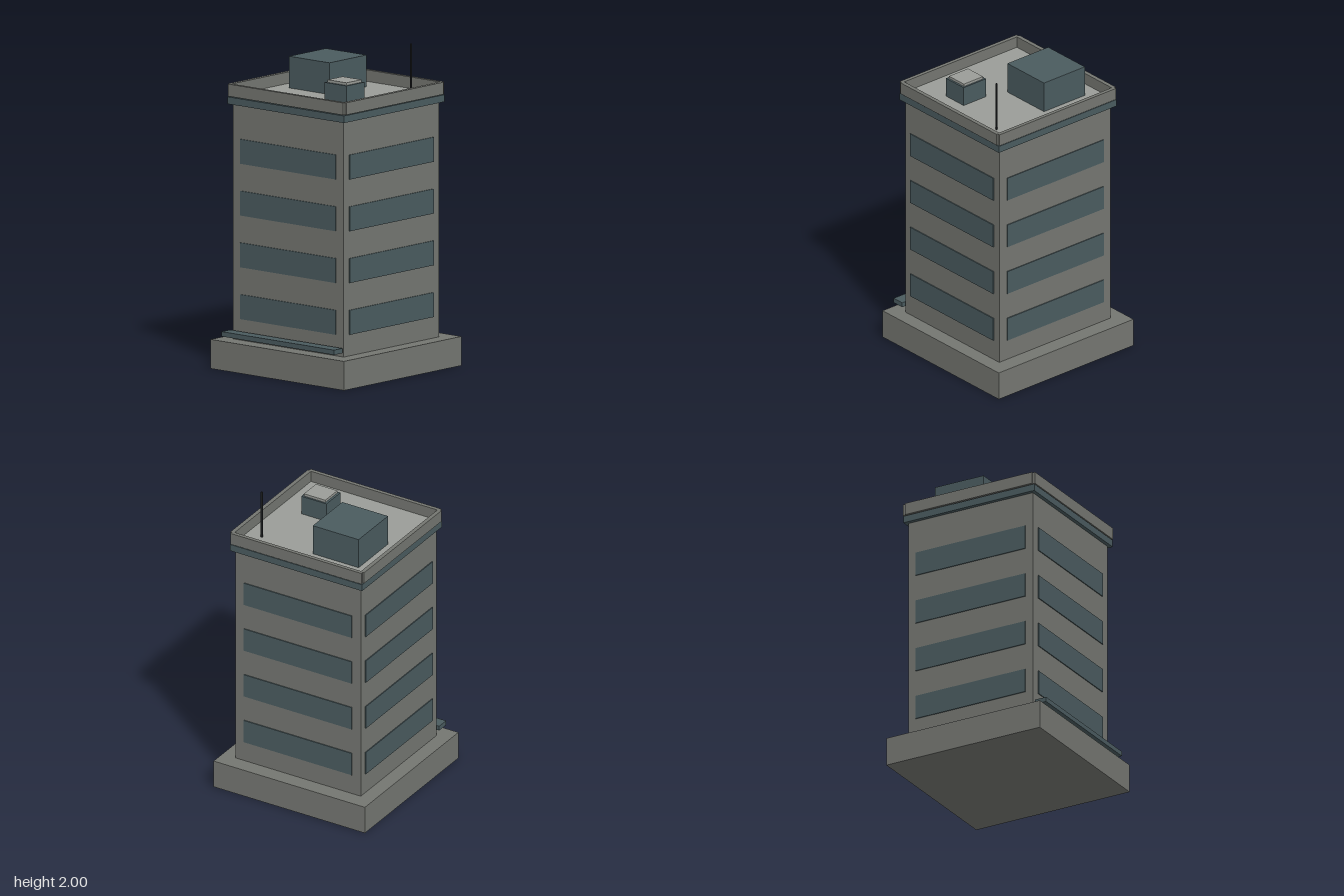
import * as THREE from 'three';

const paint = (name, color) => {
  const m = new THREE.MeshStandardMaterial({ color });
  m.name = name;
  return m;
};

export function createModel() {
  const concrete = paint('concrete grey', 0x747671);
  const teal = paint('slate teal', 0x4a5b5f);
  const pale = paint('pale roof grey', 0x9a9d98);
  const dark = paint('antenna dark', 0x25282a);

  const model = new THREE.Group();
  model.name = 'officeTower';

  // Box given by its min and max on each axis
  const box = (name, mat, [x0, x1], [y0, y1], [z0, z1], parent = model) => {
    const mesh = new THREE.Mesh(new THREE.BoxGeometry(x1 - x0, y1 - y0, z1 - z0), mat);
    mesh.position.set((x0 + x1) / 2, (y0 + y1) / 2, (z0 + z1) / 2);
    mesh.name = name;
    parent.add(mesh);
    return mesh;
  };
  const sym = (v) => [-v, v];

  // Plinth, shaft and entrance canopy
  box('plinth', concrete, sym(0.54), [0, 0.18], sym(0.54));
  box('towerShaft', concrete, sym(0.447), [0.18, 1.68], sym(0.437));
  box('entranceCanopy', teal, sym(0.455), [0.208, 0.238], [0.456, 0.535]);

  // Window strips on all four faces, four floors
  const windows = new THREE.Group();
  windows.name = 'windowStrips';
  model.add(windows);
  for (let floor = 0; floor < 4; floor++) {
    const y = 0.311 + floor * 0.32;
    const span = [y, y + 0.152];
    for (const s of [-1, 1]) {
      const zs = [0.434 * s, 0.443 * s].sort((a, b) => a - b);
      const xs = [0.444 * s, 0.453 * s].sort((a, b) => a - b);
      box(s > 0 ? 'frontWindow' : 'backWindow', teal, sym(0.386), span, zs, windows);
      box(s > 0 ? 'leftWindow' : 'rightWindow', teal, xs, span, sym(0.386), windows);
    }
  }

  // Cornice band, roof deck and parapet with notched corners
  box('corniceBand', teal, sym(0.471), [1.633, 1.677], sym(0.461));
  box('roofDeck', pale, sym(0.452), [1.677, 1.686], sym(0.442));
  const parapet = new THREE.Group();
  parapet.name = 'parapet';
  model.add(parapet);
  for (const s of [-1, 1]) {
    const zs = [0.44 * s, 0.464 * s].sort((a, b) => a - b);
    const xs = [0.451 * s, 0.477 * s].sort((a, b) => a - b);
    box(s > 0 ? 'frontParapet' : 'backParapet', concrete, sym(0.467), [1.682, 1.757], zs, parapet);
    box(s > 0 ? 'leftParapet' : 'rightParapet', concrete, xs, [1.682, 1.757], sym(0.447), parapet);
  }

  // Rooftop equipment
  box('plantRoom', teal, [-0.351, -0.024], [1.686, 1.882], [-0.307, 0.033]);
  box('ventUnit', teal, [0.113, 0.293], [1.686, 1.808], [0.073, 0.236]);
  box('ventCap', pale, [0.128, 0.281], [1.808, 1.824], [0.084, 0.223]);
  box('antenna', dark, [0.342, 0.352], [1.686, 2], [-0.3, -0.29]);

  return model;
}
